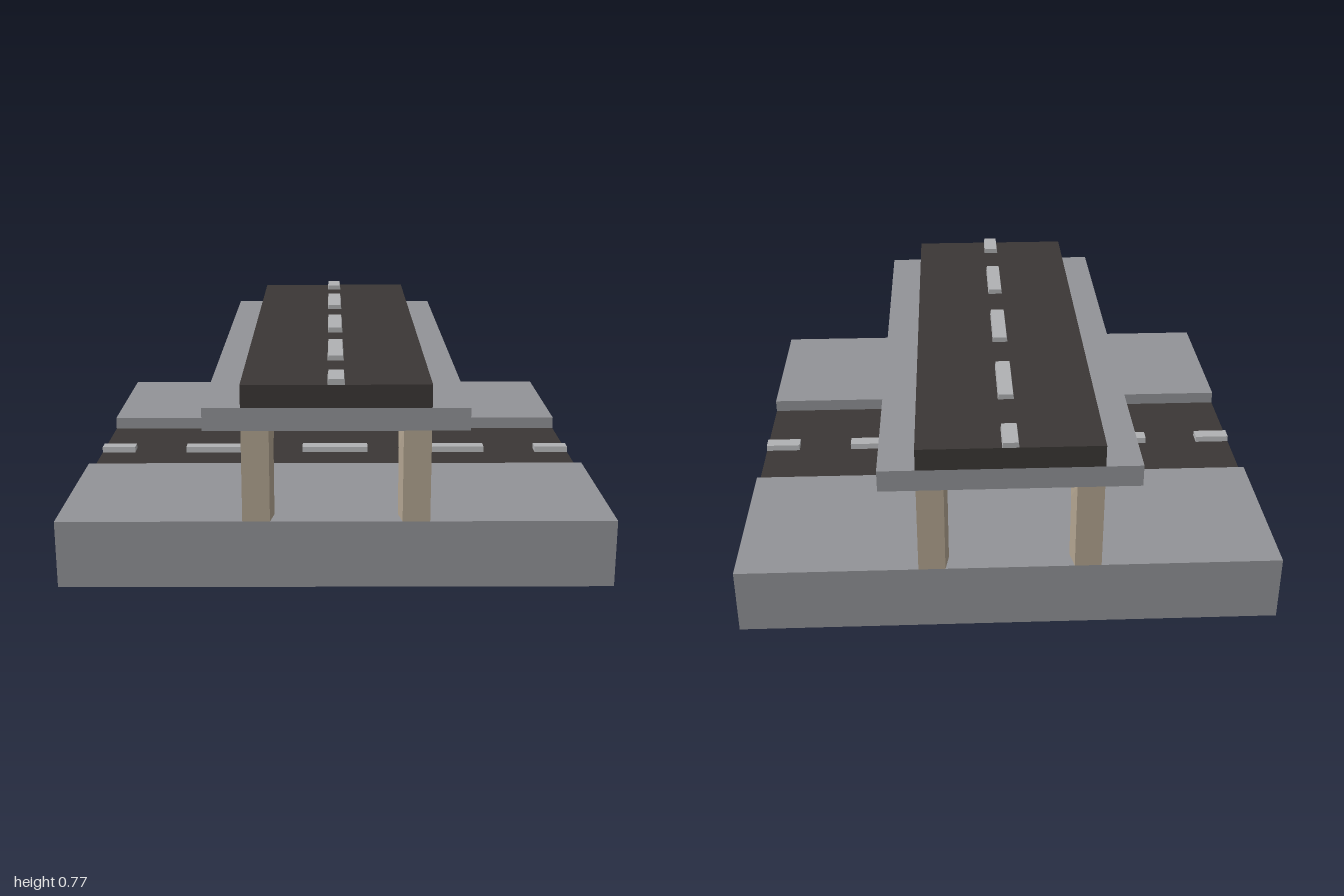
import * as THREE from 'three';

const mat = (color) => new THREE.MeshStandardMaterial({ color, flatShading: true });
const concrete = mat(0x929397);
const asphalt = mat(0x3b3735);
const stone = mat(0xb2a490);
const paint = mat(0xb0b1b3);

// Box given by its lower and upper limits
function block(name, material, [x0, y0, z0], [x1, y1, z1]) {
  const geo = new THREE.BoxGeometry(x1 - x0, y1 - y0, z1 - z0);
  geo.translate((x0 + x1) / 2, (y0 + y1) / 2, (z0 + z1) / 2);
  const mesh = new THREE.Mesh(geo, material);
  mesh.name = name;
  return mesh;
}

// Row of raised lane dashes along z, half dashes at both ends
function laneDashes(name, y, height) {
  const group = new THREE.Group();
  group.name = name;
  for (const [a, b] of [[-1, -0.86], [-0.64, -0.36], [-0.14, 0.14], [0.36, 0.64], [0.86, 1]]) {
    const dash = block('laneDash', paint, [-0.03, y, a], [0.03, y + height, b]);
    // Slightly narrower top
    const pos = dash.geometry.attributes.position;
    for (let i = 0; i < pos.count; i++) {
      if (pos.getY(i) > y + height / 2) pos.setX(i, pos.getX(i) * 0.9);
    }
    dash.geometry.computeVertexNormals();
    group.add(dash);
  }
  return group;
}

// Pillar with a bracket at the top; its inner side leans inwards a little
function pillarGeometry() {
  const profile = new THREE.Shape([
    [-1, 0.25], [-0.925, 0.25], [-0.925, 0.5], [-0.86, 0.585], [-1, 0.585],
  ].map(([u, v]) => new THREE.Vector2(u, v)));
  const geo = new THREE.ExtrudeGeometry(profile, { depth: 0.111, bevelEnabled: false });
  geo.rotateY(Math.PI / 2); // profile u becomes -z, depth becomes x
  geo.translate(0.222, 0, 0);
  const pos = geo.attributes.position;
  for (let i = 0; i < pos.count; i++) {
    if (pos.getX(i) < 0.25 && pos.getZ(i) > 0.99) pos.setX(i, 0.235);
  }
  geo.computeVertexNormals();
  return geo;
}

export function createModel() {
  const model = new THREE.Group();
  model.name = 'roadOverpass';

  // Ground with a sunken road crossing from side to side
  model.add(block('basePlate', concrete, [-1, 0, -1], [1, 0.005, 1]));
  model.add(block('frontGround', concrete, [-1, 0.005, 0.333], [1, 0.25, 1]));
  model.add(block('backGround', concrete, [-1, 0.005, -1], [1, 0.25, -0.333]));
  model.add(block('lowerRoad', asphalt, [-1, 0.005, -0.333], [1, 0.2, 0.333]));
  const lowerDashes = laneDashes('lowerLaneDashes', 0.2, 0.023);
  lowerDashes.rotation.y = Math.PI / 2;
  model.add(lowerDashes);

  // Bridge deck and upper road
  model.add(block('deck', concrete, [-0.467, 0.585, -1], [0.467, 0.667, 1]));
  model.add(block('upperRoad', asphalt, [-0.333, 0.667, -1], [0.333, 0.75, 1]));
  model.add(laneDashes('upperLaneDashes', 0.75, 0.02));

  // Four pillars, mirrored to each corner
  const pillar = pillarGeometry();
  for (const sx of [1, -1]) {
    for (const sz of [1, -1]) {
      const mesh = new THREE.Mesh(pillar, stone);
      mesh.name = 'pillar';
      mesh.scale.set(sx, 1, sz);
      model.add(mesh);
    }
  }
  return model;
}
